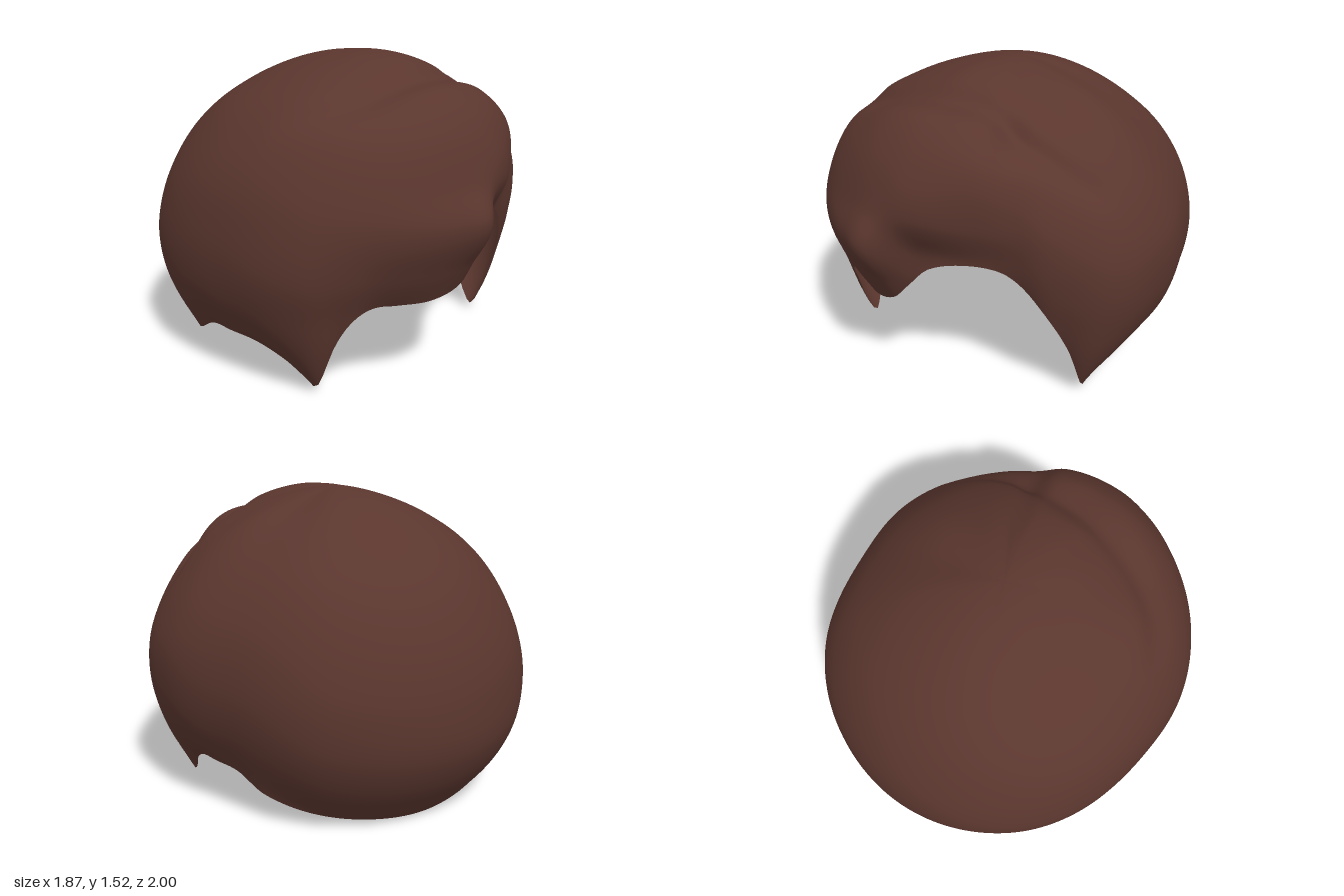
import * as THREE from 'three';

const DEG = Math.PI / 180;
const CENTRE_Y = 0.6;
const CROWN = 0.912;

// Elevation angles of the radius samples, below the crown
const LEVELS = [72, 57, 46, 35, 22, 12, 0, -13, -32];
// Azimuths of the radius samples, from the front (+z) towards the left (+x)
const AZIMUTHS = [0, 20, 30, 40, 60, 80, 105, 135, 180, 225, 270, 300, 320, 340, 350];
// Distance from the head centre, one row per azimuth
const RADII = [
  [.955, .99, 1.05, 1.06, 1.01, .88, .845, .83, .83],
  [.945, .975, 1.02, 1.025, .93, .835, .82, .82, .82],
  [.93, .945, .955, .98, .915, .85, .83, .82, .82],
  [.915, .935, .95, .965, .945, .905, .855, .83, .86],
  [.905, .91, .925, .94, .96, .97, .96, .94, .935],
  [.895, .91, .92, .93, .95, .96, .945, .92, .86],
  [.88, .88, .89, .905, .915, .915, .905, .88, .83],
  [.895, .895, .905, .925, .945, .96, .975, .975, .935],
  [.90, .90, .91, .925, .945, .965, .985, 1.005, .965],
  [.90, .905, .92, .935, .95, .965, .98, .975, .94],
  [.91, .925, .945, .95, .955, .945, .935, .915, .86],
  [.925, .95, .985, 1.005, 1.0, .99, .975, .945, .95],
  [.94, .96, 1.0, 1.03, 1.02, 1.0, .93, .87, .87],
  [.95, .98, 1.045, 1.055, 1.03, 1.03, .925, .85, .84],
  [.955, .99, 1.055, 1.06, 1.035, 1.045, .91, .84, .84],
];

// Parting groove that runs across the top, behind the swept front
const GROOVE = {
  azimuths: [-75, -60, -40, -20, 0, 20, 40, 55, 65],
  elevations: [39, 43, 49, 54, 56, 54, 43, 33, 28],
  depths: [0, .02, .033, .035, .035, .035, .035, .02, 0],
  width: 5,
};

// Hairline: fringe across the face, then one side back to the nape (mirrored)
const FRINGE = [
  [-.665, .28, .53], [-.63, .40, .60], [-.55, .45, .65], [-.45, .445, .70],
  [-.30, .45, .79], [-.15, .50, .84], [-.05, .60, .845], [.05, .70, .83],
  [.20, .74, .78], [.35, .72, .71], [.45, .65, .67], [.55, .50, .62], [.615, .30, .53],
];
const SIDE = [
  [.64, .04, .42], [.655, .07, .36], [.70, .15, .28], [.75, .22, .15], [.775, .24, 0],
  [.76, .23, -.15], [.72, .15, -.30], [.57, .07, -.50], [.30, .02, -.67],
];
const RIGHT_SPREAD = 1.05;

// Smooth curve through unevenly spaced samples with increasing xs
function smooth(xs, ys, x) {
  const last = xs.length - 1;
  let i = 0;
  while (i < last - 1 && x > xs[i + 1]) i++;
  const slope = (k) => {
    const a = Math.max(k - 1, 0), b = Math.min(k + 1, last);
    return (ys[b] - ys[a]) / (xs[b] - xs[a]);
  };
  const h = xs[i + 1] - xs[i];
  const t = Math.min(1, Math.max(0, (x - xs[i]) / h));
  const t2 = t * t, t3 = t2 * t;
  return (2 * t3 - 3 * t2 + 1) * ys[i] + (t3 - 2 * t2 + t) * h * slope(i)
    + (3 * t2 - 2 * t3) * ys[i + 1] + (t3 - t2) * h * slope(i + 1);
}

// Repeat samples on both sides so that a curve closes around the head
const wrapAngles = (a) => [...a.map((v) => v - 360), ...a, ...a.map((v) => v + 360)];
const wrapValues = (a) => [...a, ...a, ...a];

function hairline() {
  const mirrored = SIDE.map(([x, y, z]) => [-x * RIGHT_SPREAD, y, z]);
  const points = [...FRINGE, ...SIDE, [0, 0, -.72], ...mirrored].map(([x, y, z]) => {
    const flat = Math.hypot(x, z), v = y - CENTRE_Y;
    return {
      azimuth: (Math.atan2(x, z) / DEG + 360) % 360,
      elevation: Math.atan2(v, flat) / DEG,
      radius: Math.hypot(flat, v),
    };
  }).sort((a, b) => a.azimuth - b.azimuth);
  const angles = wrapAngles(points.map((p) => p.azimuth));
  const elevations = wrapValues(points.map((p) => p.elevation));
  const radii = wrapValues(points.map((p) => p.radius));
  return (azimuth) => ({
    elevation: smooth(angles, elevations, azimuth),
    radius: smooth(angles, radii, azimuth),
  });
}

function grooveDepth(azimuth, elevation) {
  const a = azimuth > 180 ? azimuth - 360 : azimuth;
  const depth = smooth(GROOVE.azimuths, GROOVE.depths, a);
  const offset = (elevation - smooth(GROOVE.azimuths, GROOVE.elevations, a)) / GROOVE.width;
  return depth * Math.exp(-offset * offset);
}

function hairGeometry(columns = 200, rows = 72) {
  const rimAt = hairline();
  const angles = wrapAngles(AZIMUTHS);
  const levelRadius = (k, azimuth) => smooth(angles, wrapValues(RADII.map((r) => r[k])), azimuth);
  // Angle down from the crown; the first sample lies beyond it, so the top stays round
  const descent = [LEVELS[0] - 90, 0, ...LEVELS.map((v) => 90 - v)];
  const positions = [0, CENTRE_Y + CROWN, 0];
  const indices = [];

  for (let j = 0; j < columns; j++) {
    const azimuth = (j / columns) * 360;
    const rim = rimAt(azimuth);
    const profile = [
      levelRadius(0, (azimuth + 180) % 360), CROWN,
      ...LEVELS.map((_, k) => levelRadius(k, azimuth)),
    ];
    const radiusAt = (e) => smooth(descent, profile, 90 - e) - grooveDepth(azimuth, e);
    const correction = rim.radius - radiusAt(rim.elevation);

    // One strand of points from the crown down to the hairline
    for (let i = 1; i <= rows; i++) {
      const e = 90 + (rim.elevation - 90) * (i / rows);
      const r = radiusAt(e) + correction * Math.exp((rim.elevation - e) / 8);
      const flat = r * Math.cos(e * DEG);
      positions.push(
        flat * Math.sin(azimuth * DEG),
        CENTRE_Y + r * Math.sin(e * DEG),
        flat * Math.cos(azimuth * DEG),
      );
    }

    const here = 1 + j * rows, next = 1 + ((j + 1) % columns) * rows;
    indices.push(0, here, next);
    for (let i = 0; i < rows - 1; i++) {
      indices.push(here + i, here + i + 1, next + i + 1);
      indices.push(here + i, next + i + 1, next + i);
    }
  }

  const geometry = new THREE.BufferGeometry();
  geometry.setAttribute('position', new THREE.Float32BufferAttribute(positions, 3));
  geometry.setIndex(indices);
  geometry.computeVertexNormals();
  return geometry;
}

export function createModel() {
  const brown = new THREE.MeshStandardMaterial({ color: 0x5a362e, side: THREE.DoubleSide });
  brown.name = 'dark brown hair';

  const hair = new THREE.Mesh(hairGeometry(), brown);
  hair.name = 'hair';

  const model = new THREE.Group();
  model.name = 'hairpiece';
  model.add(hair);
  return model;
}
